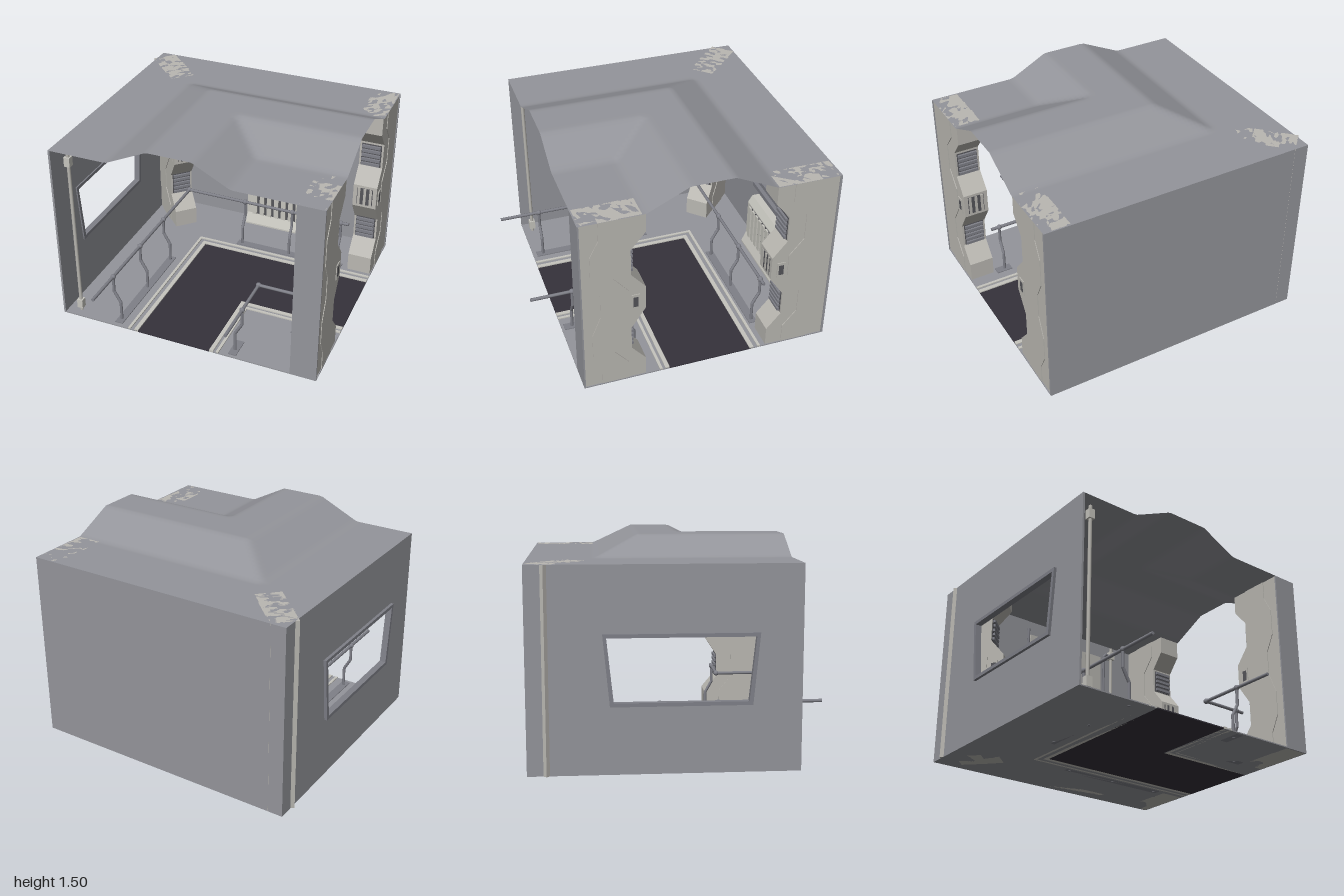
import * as THREE from 'three';

const mat = (name, color, side = THREE.FrontSide) => {
  const m = new THREE.MeshStandardMaterial({ color, side });
  m.name = name;
  return m;
};

export function createModel() {
  const root = new THREE.Group();
  root.name = 'corridorCorner';
  const wall = mat('wallGrey', 0x94959b, THREE.DoubleSide);
  const beige = mat('panelBeige', 0xbab8b2);
  const trim = mat('trimLight', 0xc6c5be);
  const dark = mat('floorDark', 0x35323b);
  const metal = mat('railGrey', 0x7f8088);
  const slot = mat('slotGrey', 0x55555a);

  const add = (parent, name, geo, material) => {
    const m = new THREE.Mesh(geo, material);
    m.name = name;
    parent.add(m);
    return m;
  };
  // Box given by its minimum and maximum corners
  const box = (parent, name, material, a, b) => {
    const m = add(parent, name, new THREE.BoxGeometry(b[0] - a[0], b[1] - a[1], b[2] - a[2]), material);
    m.position.set((a[0] + b[0]) / 2, (a[1] + b[1]) / 2, (a[2] + b[2]) / 2);
    return m;
  };
  // Straight round bars through a list of points
  const bars = (parent, name, material, pts, r) => {
    for (let i = 0; i < pts.length - 1; i++) {
      const a = new THREE.Vector3(...pts[i]), b = new THREE.Vector3(...pts[i + 1]);
      const d = b.clone().sub(a);
      const m = add(parent, name, new THREE.CylinderGeometry(r, r, d.length() + r * 0.6, 8), material);
      m.position.copy(a).add(b).multiplyScalar(0.5);
      m.quaternion.setFromUnitVectors(new THREE.Vector3(0, 1, 0), d.normalize());
    }
  };
  const shape = (pts) => new THREE.Shape(pts.map(([x, y]) => new THREE.Vector2(x, y)));
  const extrude = (s, depth) => new THREE.ExtrudeGeometry(s, { depth, bevelEnabled: false });

  // Floor: grey surround and a dark L-shaped walkway
  const floorPiece = (name, material, pts) => {
    const g = extrude(shape(pts.map(([x, z]) => [x, -z])), 0.008);
    g.rotateX(-Math.PI / 2);
    add(root, name, g, material);
  };
  floorPiece('floorOuter', wall, [[-0.97, 0.78], [-0.37, 0.78], [-0.37, -0.44], [0.99, -0.44], [0.99, -1], [-0.97, -1]]);
  floorPiece('floorInner', wall, [[0.2, 0.78], [0.99, 0.78], [0.99, 0.17], [0.2, 0.17]]);
  floorPiece('walkway', dark, [[-0.37, 0.78], [0.2, 0.78], [0.2, 0.17], [0.99, 0.17], [0.99, -0.44], [-0.37, -0.44]]);
  for (const [x, z, w] of [[-0.39, -0.46, 0.03], [-0.44, -0.51, 0.02], [0.2, 0.17, 0.03], [0.25, 0.22, 0.02]]) {
    box(root, 'floorTrim', trim, [x, 0, z], [x + w, 0.016, 0.78]);
    box(root, 'floorTrim', trim, [x + w, 0, z], [0.99, 0.016, z + w]);
  }

  // Back wall and the window wall with its trapezoid opening
  box(root, 'backWall', wall, [-0.97, 0, -1], [0.99, 1.36, -0.985]);
  const windowPts = (o) => [[-0.44 - o, 0.475 - o], [0.43 + o, 0.475 - o], [0.475 + o, 0.895 + o], [-0.485 - o, 0.895 + o]];
  const sideShape = shape([[-1, 0], [0.78, 0], [0.78, 1.36], [-1, 1.36]]);
  sideShape.holes.push(shape(windowPts(0.01)));
  const sideWall = add(root, 'windowWall', extrude(sideShape, 0.015), wall);
  sideWall.rotation.y = -Math.PI / 2;
  sideWall.position.x = -0.955;
  const frameShape = shape(windowPts(0.025));
  frameShape.holes.push(shape(windowPts(0)));
  const frame = add(root, 'windowFrame', extrude(frameShape, 0.045), metal);
  frame.rotation.y = -Math.PI / 2;
  frame.position.x = -0.945;
  box(root, 'frontPanel', wall, [0.8, 0, 0.77], [0.99, 1.36, 0.78]);

  // Roof: flat sheet with an L-shaped vault, open at both ends
  const ramp = (v, a, b) => THREE.MathUtils.clamp((v - a) / (b - a), 0, 1);
  const roof = new THREE.PlaneGeometry(1.96, 1.78, 70, 64);
  roof.rotateX(-Math.PI / 2);
  roof.translate(0.01, 0, -0.11);
  const rp = roof.attributes.position;
  for (let i = 0; i < rp.count; i++) {
    const x = rp.getX(i), z = rp.getZ(i);
    const outer = Math.min(ramp(x, -0.53, -0.23), ramp(z, -0.55, -0.25));
    const inner = 1 - Math.min(ramp(x, 0.09, 0.36), ramp(z, 0.05, 0.34));
    rp.setY(i, 1.36 + 0.14 * Math.min(outer, inner));
  }
  roof.computeVertexNormals();
  add(root, 'roof', roof, wall);

  // Pillar: notched slab with relief plates, vents in the notches
  const edge = [[0, 0], [0, 0.15], [-0.1, 0.27], [-0.1, 0.45], [0, 0.6], [0, 0.78], [-0.1, 0.9], [-0.1, 1.1], [0, 1.22], [0, 1.36]];
  const pillar = (x, z, angle, L) => {
    const g = new THREE.Group();
    g.name = 'pillar';
    const slab = (name, from, back, t) => {
      const pts = [...edge.map(([a, b]) => [a - from, b]), ...back];
      const geo = extrude(shape(pts), t);
      geo.translate(0, 0, -t / 2);
      add(g, name, geo, beige);
    };
    slab('pillarBody', 0, [[-L, 1.36], [-L, 0]], 0.18);
    const zig = edge.map(([a, b]) => [a * 0.6 - 0.31, b]).reverse();
    slab('pillarRelief', 0.12, zig, 0.19);
    box(g, 'pillarBadgePlate', beige, [-0.1, 0.61, -0.096], [-0.04, 0.73, 0.096]);
    box(g, 'pillarBadgeInset', slot, [-0.088, 0.63, -0.097], [-0.052, 0.71, 0.097]);
    for (const y of [0.275, 0.905]) {
      box(g, 'ventBack', slot, [-0.105, y, -0.075], [-0.096, y + 0.18, 0.075]);
      for (let i = 0; i < 5; i++)
        box(g, 'ventSlat', metal, [-0.1, y + 0.008 + i * 0.036, -0.07], [-0.08, y + 0.028 + i * 0.036, 0.07]);
    }
    box(g, 'middleVent', slot, [-0.01, 0.62, -0.06], [0.003, 0.76, 0.06]);
    for (const s of [-0.045, 0, 0.045])
      box(g, 'middleVentBar', beige, [-0.005, 0.62, s - 0.01], [0.007, 0.76, s + 0.01]);
    g.position.set(x, 0, z);
    g.rotation.y = angle;
    root.add(g);
  };
  pillar(0.893, -0.55, -Math.PI / 2, 0.44);
  pillar(0.893, 0.34, Math.PI / 2, 0.43);
  pillar(-0.63, -0.64, -Math.PI / 4, 0.42);

  // Handrails: posts kink towards the walkway
  const rails = new THREE.Group();
  rails.name = 'handrails';
  root.add(rails);
  const H = 0.375;
  bars(rails, 'outerRail', metal, [[-0.58, H, 0.995], [-0.58, H, -0.61], [0.77, H, -0.61]], 0.012);
  bars(rails, 'innerRail', metal, [[0.415, H, 0.995], [0.415, H, 0.39], [0.77, H, 0.39]], 0.012);
  const post = (x, z, dx, dz) => {
    bars(rails, 'railPost', metal, [[x, H, z], [x, 0.25, z], [x + dx, 0.16, z + dz], [x + dx, 0, z + dz]], 0.011);
    const ball = add(rails, 'railJoint', new THREE.SphereGeometry(0.02, 10, 8), metal);
    ball.position.set(x, H, z);
  };
  for (const z of [0.7, 0.28, -0.12]) post(-0.58, z, 0.05, 0);
  for (const x of [-0.09, 0.31, 0.71]) post(x, -0.61, 0, 0.05);
  post(0.415, 0.7, -0.05, 0);
  post(0.71, 0.39, 0, -0.05);
  for (const [x, z] of [[-0.58, -0.61], [0.415, 0.39]]) {
    const ball = add(rails, 'railCorner', new THREE.SphereGeometry(0.02, 10, 8), metal);
    ball.position.set(x, H, z);
  }
  box(rails, 'railFoot', metal, [-0.56, 0, -0.16], [-0.5, 0.014, 0.75]);
  box(rails, 'railFoot', metal, [-0.13, 0, -0.59], [0.75, 0.014, -0.53]);
  box(rails, 'railFoot', metal, [0.335, 0, 0.6], [0.395, 0.014, 0.76]);
  box(rails, 'railFoot', metal, [0.66, 0, 0.31], [0.78, 0.014, 0.37]);

  // Back wall fittings: panel, bent pipe, slots
  box(root, 'wallPanel', beige, [-0.22, 0.72, -0.986], [0.485, 1.235, -0.965]);
  bars(root, 'panelPipe', metal, [[-0.25, 1.27, -0.95], [-0.25, 0.705, -0.95], [0.505, 0.705, -0.95],
    [0.505, 1.24, -0.95], [0.525, 1.265, -0.95], [0.58, 1.265, -0.95]], 0.011);
  for (const y of [0.52, 0.6]) box(root, 'wallBar', metal, [-0.21, y, -0.986], [0.48, y + 0.032, -0.94]);

  // Floor vent cabinet with upright louvres
  const cabinet = extrude(shape([[0.986, 0], [0.86, 0], [0.86, 0.02], [0.895, 0.1], [0.895, 0.39], [0.93, 0.445], [0.986, 0.445]].reverse()), 0.63);
  cabinet.rotateY(Math.PI / 2);
  const cab = add(root, 'ventCabinet', cabinet, trim);
  cab.position.x = -0.18;
  box(root, 'ventRecess', slot, [-0.13, 0.1, -0.9], [0.41, 0.38, -0.892]);
  for (let i = 0; i < 9; i++) {
    const x = -0.13 + i * 0.0625;
    box(root, 'ventLouvre', trim, [x, 0.1, -0.895], [x + 0.038, 0.38, -0.88]);
  }

  // Upright service pipes with couplings
  for (const [x, z] of [[0.58, -0.95], [-0.86, 0.71]]) {
    bars(root, 'servicePipe', beige, [[x, 0.005, z], [x, 1.33, z]], 0.013);
    for (const y of [0.035, 1.23]) box(root, 'pipeCoupling', trim, [x - 0.022, y, z - 0.022], [x + 0.022, y + 0.07, z + 0.022]);
  }
  return root;
}
